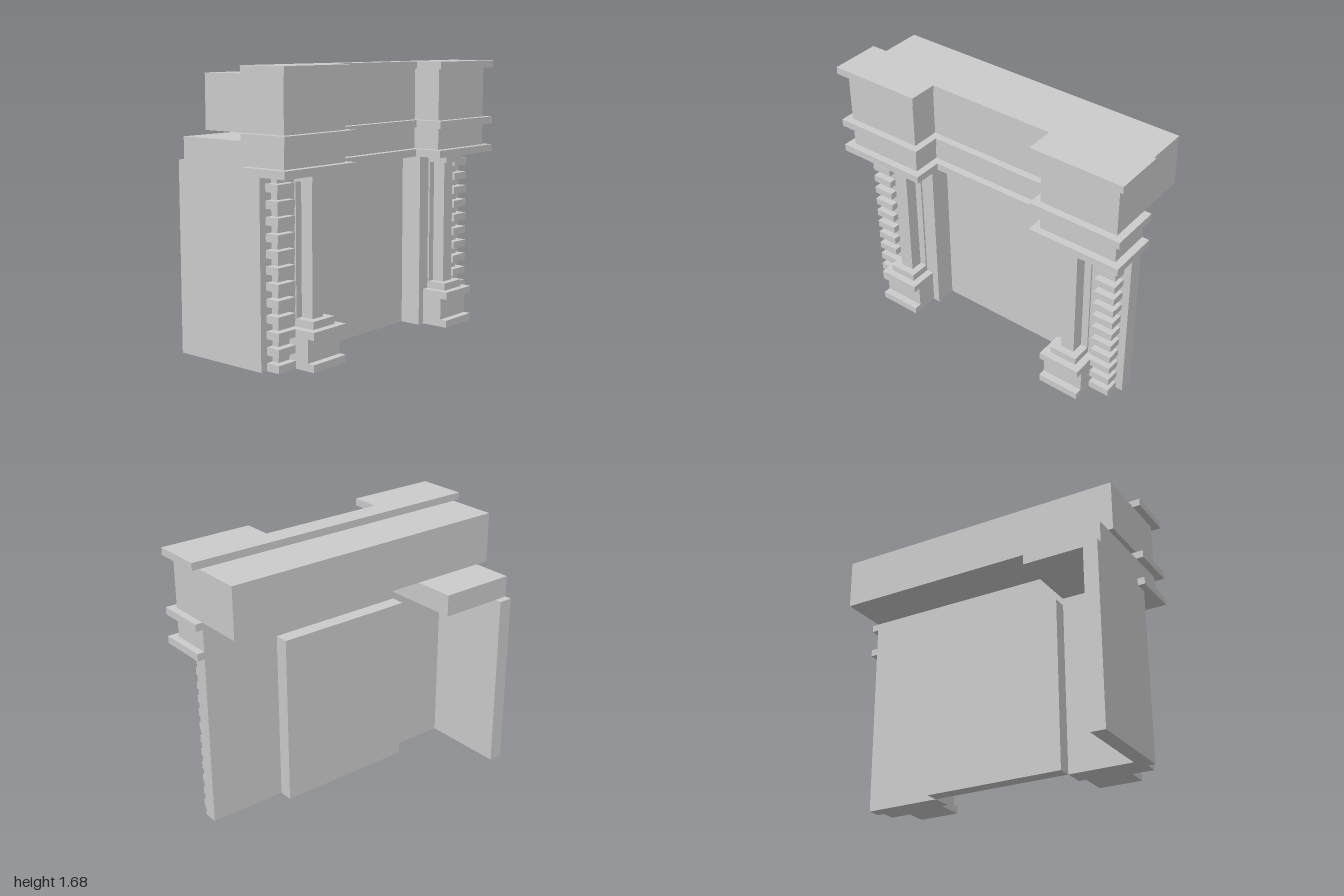
import * as THREE from 'three';

const U = 1 / 22; // one grid module; all dimensions below are in modules
const mat = new THREE.MeshStandardMaterial({ color: 0xcccccc, flatShading: true });

export function createModel() {
  const group = new THREE.Group();

  function add(name, geo, parent = group) {
    geo.scale(U, U, U);
    const mesh = new THREE.Mesh(geo, mat);
    mesh.name = name;
    parent.add(mesh);
    return mesh;
  }

  // Box from its extents; side = -1 mirrors it in x
  function box(name, x0, x1, y0, y1, z0, z1, parent = group, side = 1) {
    const geo = new THREE.BoxGeometry(x1 - x0, y1 - y0, z1 - z0);
    geo.translate(side * (x0 + x1) / 2, (y0 + y1) / 2, (z0 + z1) / 2);
    return add(name, geo, parent);
  }

  // Horizontal course with two projecting ends and a set-back middle
  function course(name, y0, y1, inner, outer, back, mid, front) {
    const plan = [
      [-outer, back], [-outer, front], [-inner, front], [-inner, mid],
      [inner, mid], [inner, front], [outer, front], [outer, back],
    ];
    const shape = new THREE.Shape(plan.map(([x, z]) => new THREE.Vector2(x, -z)));
    const geo = new THREE.ExtrudeGeometry(shape, { depth: y1 - y0, bevelEnabled: false });
    geo.rotateX(-Math.PI / 2).translate(0, y0, 0);
    return add(name, geo);
  }

  // Entablature: three ledges with two friezes between
  for (const [name, y] of [['lowerLedge', 24], ['middleLedge', 28], ['mantelShelf', 36]]) {
    course(name, y, y + 1, 9, 22, 2.5, 5.5, 9.5);
  }
  course('lowerFrieze', 25, 28, 10, 21, 2.5, 4.5, 8.5);
  course('upperFrieze', 29, 36, 10, 21, -4.5, 4.5, 8.5);

  // Rear return on one side: block resting on a thin side wall
  box('rearBlock', -21, -10, 25, 28, -8.5, 2.5);
  box('sideWall', -21, -19, 0, 25, -9.5, 2.5);

  // Solid panel closing the opening between the piers
  box('recessPanel', -10, 10, 0, 24, 0.5, 2.5);

  for (const side of [1, -1]) {
    // Pier: deep inner part, shallower outer part behind the quoins
    box('innerPier', 10, 17, 0, 24, 2.5, 5.5, group, side);
    box('outerPier', 17, 21, 0, 24, 2.5, 4.5, group, side);

    // Square column with a shallow backing strip, on a stepped pedestal
    const column = new THREE.Group();
    column.name = side > 0 ? 'leftColumn' : 'rightColumn';
    group.add(column);
    box('pedestalFoot', 11, 17, 0, 1, 5.5, 9.5, column, side);
    box('pedestalBody', 11, 17, 1, 4, 5.5, 8.5, column, side);
    box('pedestalCap', 11, 17, 4, 5, 5.5, 9.5, column, side);
    box('shaftBase', 12, 16, 5, 6, 5.5, 8.5, column, side);
    box('shaftBacking', 12, 16, 6, 23, 5.5, 5.75, column, side);
    box('shaft', 13, 15, 6, 23, 5.75, 7.5, column, side);
    box('capital', 12, 16, 23, 24, 5.5, 8.5, column, side);

    // Alternating long and short bricks
    const quoins = new THREE.Group();
    quoins.name = side > 0 ? 'leftQuoins' : 'rightQuoins';
    group.add(quoins);
    for (let i = 0; i < 12; i++) {
      box('longBrick', 17, 20, 2 * i, 2 * i + 1, 4.5, 6.5, quoins, side);
      box('shortBrick', 17, 19, 2 * i + 1, 2 * i + 2, 4.5, 5.5, quoins, side);
    }
  }
  return group;
}
